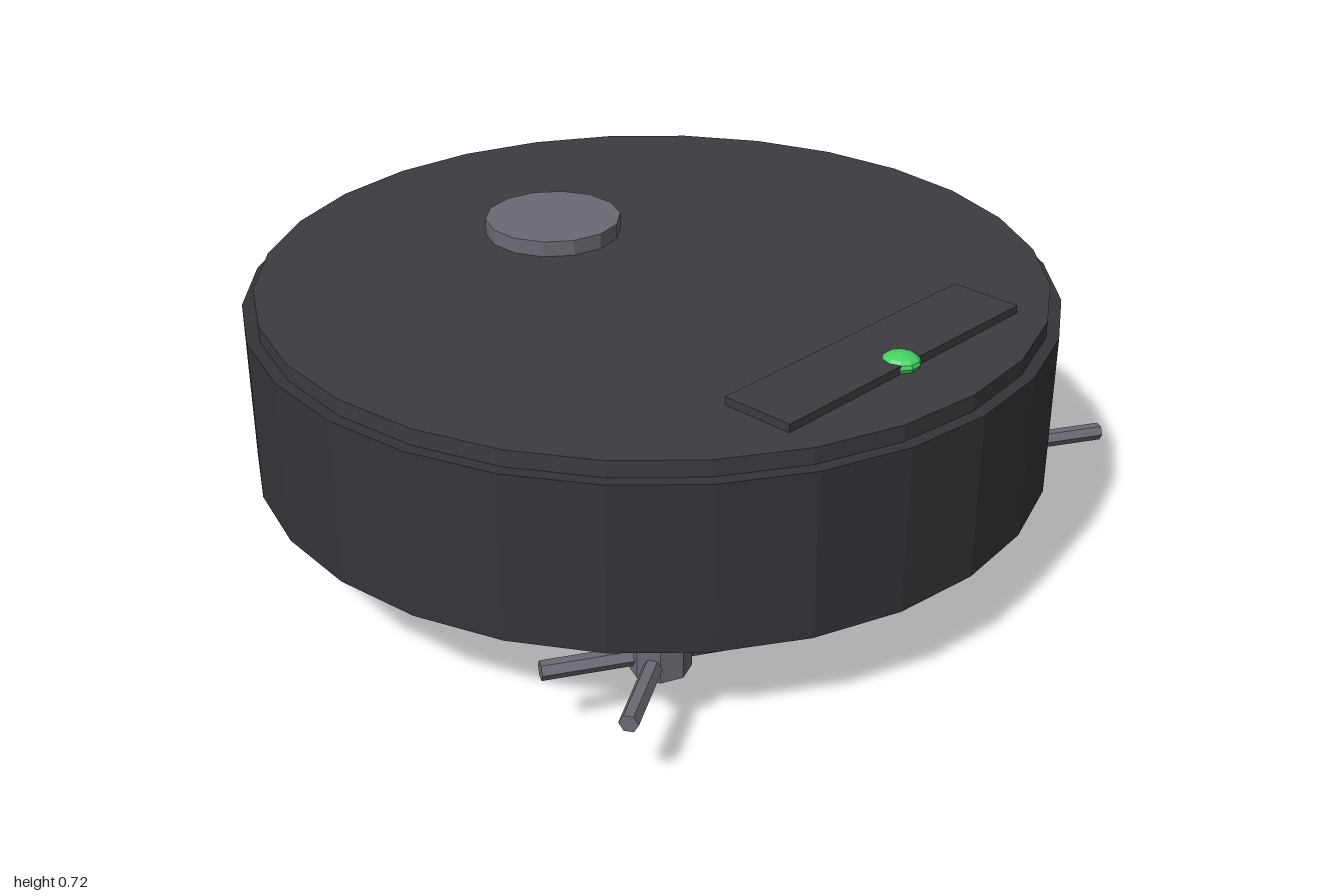
import * as THREE from 'three';

function mat(name, color) {
  const m = new THREE.MeshStandardMaterial({ color, flatShading: true });
  m.name = name;
  return m;
}

export function createModel() {
  const shell = mat('shellCharcoal', 0x353439);
  const lidGrey = mat('lidCharcoal', 0x3c3b40);
  const metal = mat('metalGrey', 0x6a6a73);
  const green = mat('lampGreen', 0x46d160);
  const model = new THREE.Group();
  model.name = 'robotVacuum';

  const add = (name, geometry, material, x, y, z, parent = model) => {
    const mesh = new THREE.Mesh(geometry, material);
    mesh.name = name;
    mesh.position.set(x, y, z);
    parent.add(mesh);
    return mesh;
  };

  // Round shell with a slightly smaller lid
  add('shell', new THREE.CylinderGeometry(1, 1, 0.41, 28), shell, 0, 0.435, 0);
  add('lid', new THREE.CylinderGeometry(0.97, 0.97, 0.04, 28), lidGrey, 0, 0.66, 0);

  // Sensor turret, control panel and status lamp on the lid
  add('sensorTurret', new THREE.CylinderGeometry(0.174, 0.174, 0.04, 14), metal, 0, 0.7, -0.355);
  add('controlPanel', new THREE.BoxGeometry(0.82, 0.02, 0.18), lidGrey, 0, 0.69, 0.705);
  const lamp = add('statusLamp', new THREE.SphereGeometry(0.047, 10, 8), green, 0, 0.69, 0.768);
  lamp.scale.y = 0.5;

  for (const side of [-1, 1]) {
    const label = side > 0 ? 'left' : 'right';

    // Drive wheel
    const wheel = add(label + 'Wheel', new THREE.CylinderGeometry(0.147, 0.147, 0.095, 10), lidGrey, side * 0.528, 0.14, 0);
    wheel.rotation.z = Math.PI / 2;

    // Side brush: hub with two crossed bars
    const brush = new THREE.Group();
    brush.name = label + 'SideBrush';
    brush.position.set(side * 0.645, 0, 0.65);
    model.add(brush);
    add('brushHub', new THREE.CylinderGeometry(0.07, 0.07, 0.09, 8), metal, 0, 0.19, 0, brush);
    for (const turn of [-1, 1]) {
      const geometry = new THREE.CylinderGeometry(0.022, 0.022, 0.53, 6).rotateZ(Math.PI / 2);
      const bar = add('brushBar', geometry, metal, 0, 0.18, 0, brush);
      bar.rotation.y = turn * Math.PI / 6;
    }
  }
  return model;
}
